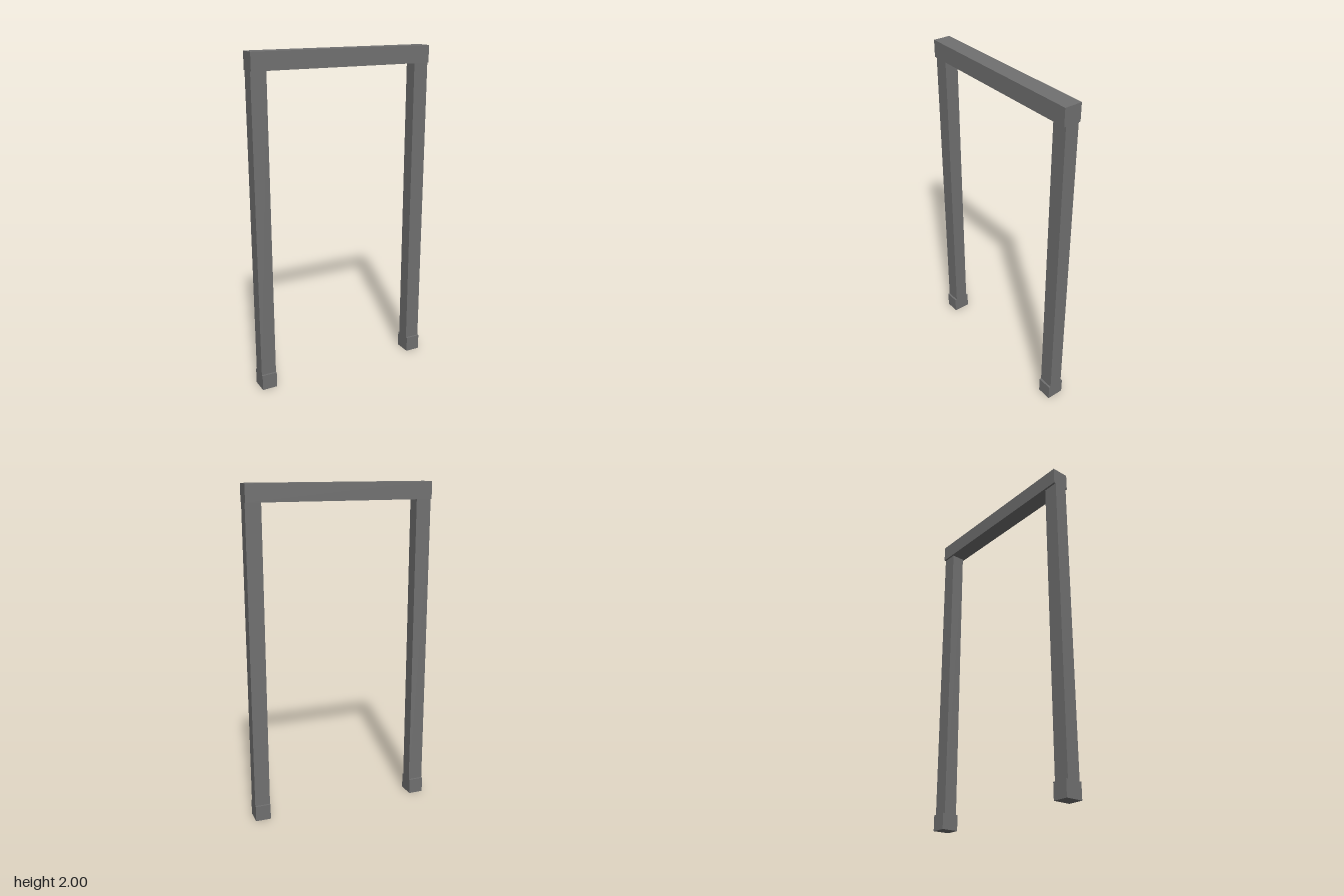
import * as THREE from 'three';

const WIDTH = 1.128, HEIGHT = 2;
const BEAM_HEIGHT = 0.102, BEAM_DEPTH = 0.105;
const POST_WIDTH = 0.092, POST_DEPTH = 0.082;
const FOOT_HEIGHT = 0.095, FOOT_DEPTH = 0.106;

export function createModel() {
  const group = new THREE.Group();
  group.name = 'doorFrame';
  const material = new THREE.MeshStandardMaterial({ color: 0x707070 });

  // Box standing on height y
  const addBox = (name, width, height, depth, x, y) => {
    const mesh = new THREE.Mesh(new THREE.BoxGeometry(width, height, depth), material);
    mesh.name = name;
    mesh.position.set(x, y + height / 2, 0);
    group.add(mesh);
  };

  // Beam across the top
  addBox('lintel', WIDTH, BEAM_HEIGHT, BEAM_DEPTH, 0, HEIGHT - BEAM_HEIGHT);

  // Post and wider foot block on each side
  for (const [side, sign] of [['left', 1], ['right', -1]]) {
    const x = sign * (WIDTH - POST_WIDTH) / 2;
    addBox(side + 'Foot', POST_WIDTH, FOOT_HEIGHT, FOOT_DEPTH, x, 0);
    addBox(side + 'Post', POST_WIDTH, HEIGHT - BEAM_HEIGHT - FOOT_HEIGHT, POST_DEPTH, x, FOOT_HEIGHT);
  }
  return group;
}
